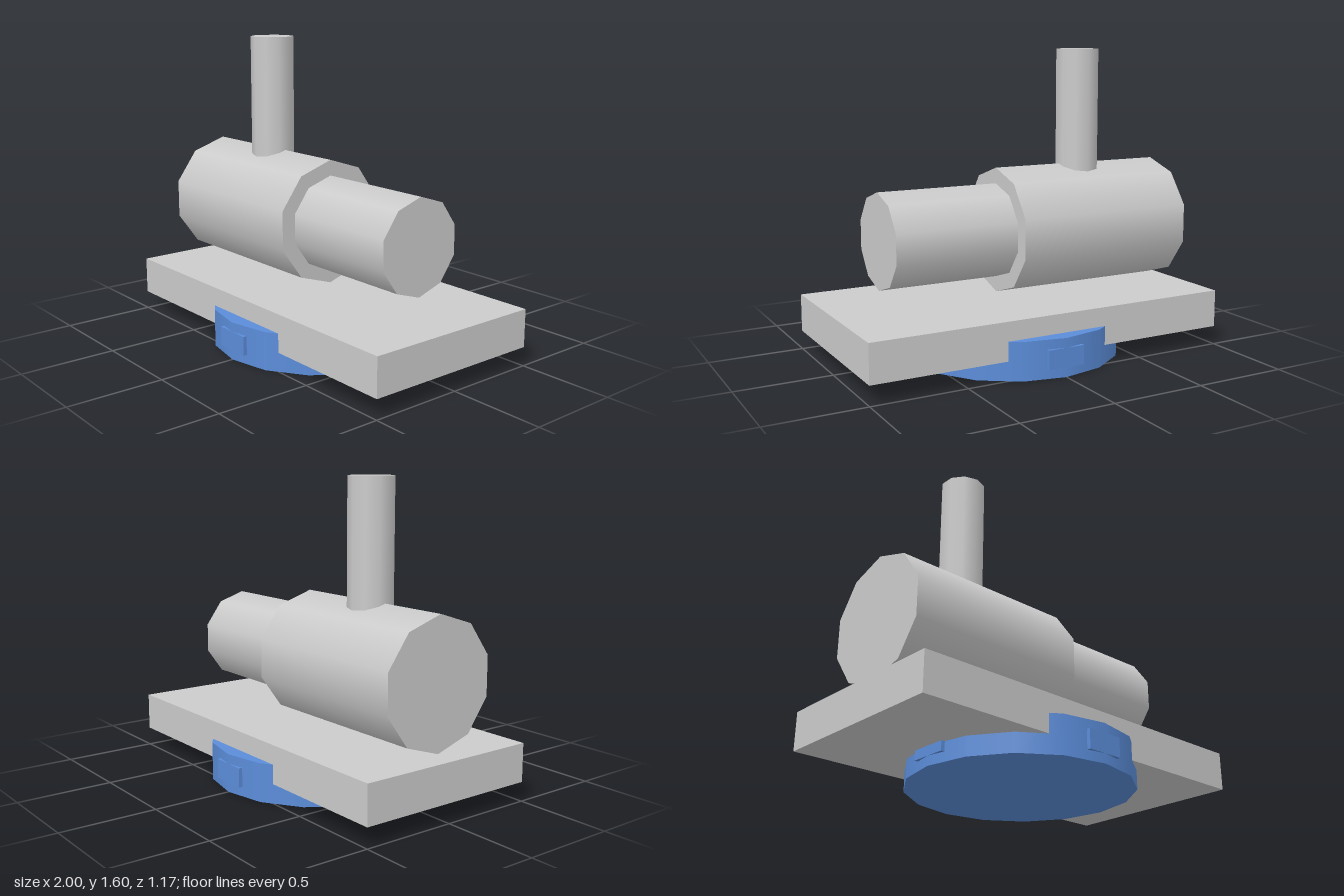
import * as THREE from 'three';

export function createModel() {
  const model = new THREE.Group();
  const grey = new THREE.MeshStandardMaterial({ color: 0xcccccc });
  const blue = new THREE.MeshStandardMaterial({ color: 0x5b8dd9 });

  function add(name, geometry, material, x, y, z) {
    const mesh = new THREE.Mesh(geometry, material);
    mesh.name = name;
    mesh.position.set(x, y, z);
    model.add(mesh);
    return mesh;
  }

  // Cylinder lying along x, with a ridge of its ten sides at the top
  function lyingCylinder(name, radius, x0, x1) {
    const geometry = new THREE.CylinderGeometry(radius, radius, x1 - x0, 10, 1, false, Math.PI / 2);
    add(name, geometry.rotateZ(Math.PI / 2), grey, (x0 + x1) / 2, 0.65, 0);
  }

  // Flat base plate
  add('basePlate', new THREE.BoxGeometry(2, 0.2, 1), grey, 0, 0.2, 0);

  // Stepped body and upright post
  lyingCylinder('mainBody', 0.333, -0.917, 0.083);
  lyingCylinder('narrowBody', 0.25, 0.083, 0.75);
  add('post', new THREE.CylinderGeometry(0.117, 0.117, 0.67, 10), grey, -0.417, 1.265, 0);

  // Round foot with four pads around its rim
  const footRadius = 0.583;
  add('foot', new THREE.CylinderGeometry(footRadius, footRadius, 0.2, 16), blue, 0, 0.1, 0);
  const padDepth = 0.034;
  for (let i = 0; i < 4; i++) {
    const angle = i * Math.PI / 2;
    const reach = footRadius - padDepth / 2;
    const pad = add('footPad', new THREE.BoxGeometry(0.2, 0.1, padDepth), blue,
      Math.sin(angle) * reach, 0.1, Math.cos(angle) * reach);
    pad.rotation.y = angle;
  }

  return model;
}
